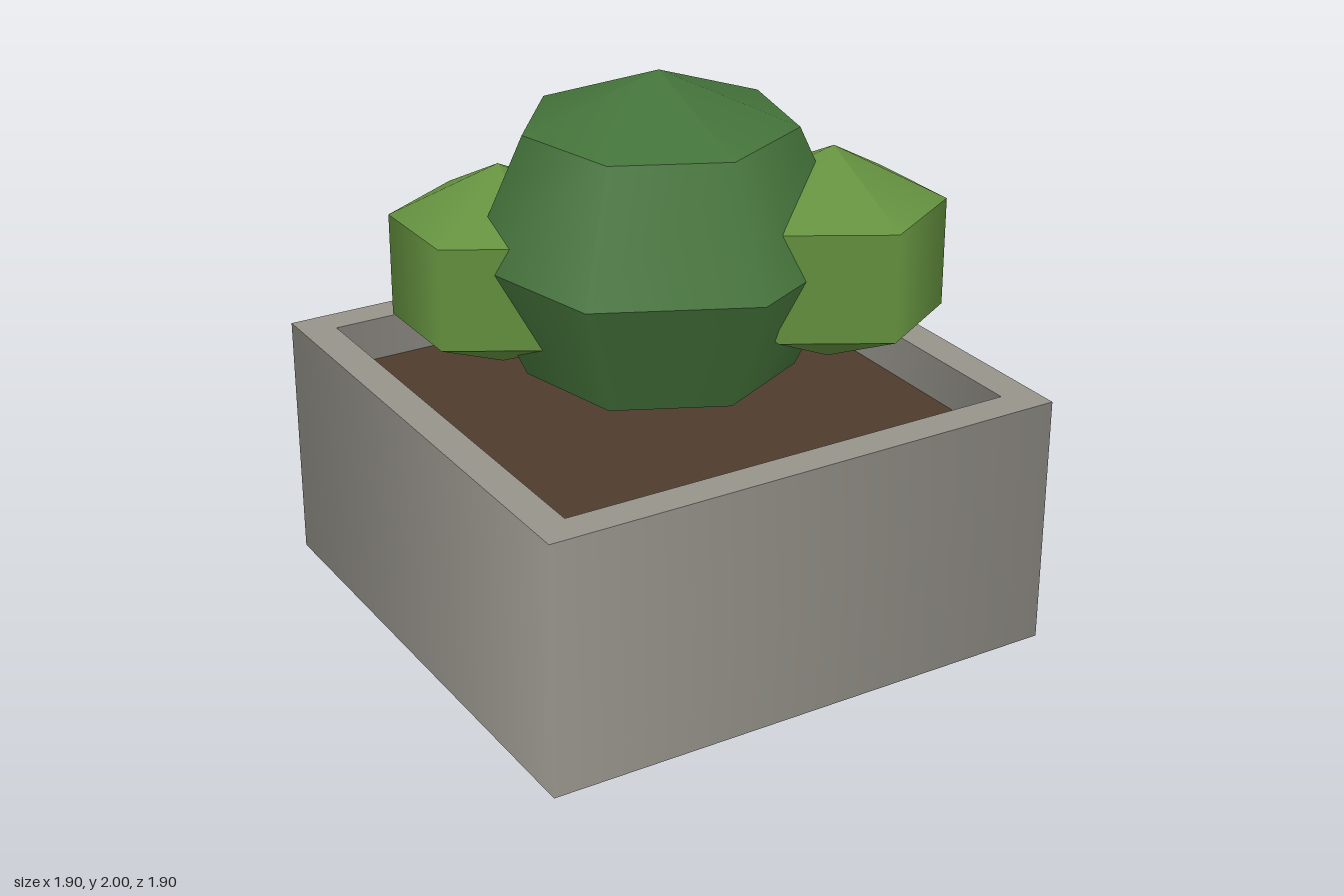
import * as THREE from 'three';
import { mergeGeometries } from 'three/addons/utils/BufferGeometryUtils.js';

const mat = (name, color, side = THREE.FrontSide) => {
  const m = new THREE.MeshStandardMaterial({ color, side });
  m.name = name;
  return m;
};

// One open band of a many-sided solid: smooth around, creased above and below
function band(rTop, rBottom, yTop, yBottom, sides) {
  const g = new THREE.CylinderGeometry(rTop, rBottom, yTop - yBottom, sides, 1, true);
  return g.translate(0, (yTop + yBottom) / 2, 0);
}

// Square band, sized by half width
function squareBand(halfTop, halfBottom, yTop, yBottom) {
  const k = Math.SQRT2;
  return band(halfTop * k, halfBottom * k, yTop, yBottom, 4).rotateY(Math.PI / 4);
}

// Flat square frame facing up or down
function squareFrame(inner, outer, y, up) {
  const k = Math.SQRT2;
  const g = new THREE.RingGeometry(inner * k, outer * k, 4, 1, Math.PI / 4);
  return g.rotateX(up ? -Math.PI / 2 : Math.PI / 2).translate(0, y, 0);
}

// Faceted ball made of stacked bands
function bushGeometry(radius, height, sides, rows) {
  const parts = [];
  for (let i = 0; i < rows; i++) {
    const a = (i / rows) * Math.PI;
    const b = ((i + 1) / rows) * Math.PI;
    const rTop = i === 0 ? 0 : radius * Math.sin(a);
    const rBottom = i === rows - 1 ? 0 : radius * Math.sin(b);
    parts.push(band(rTop, rBottom, height * Math.cos(a), height * Math.cos(b), sides));
  }
  return mergeGeometries(parts);
}

export function createModel() {
  const model = new THREE.Group();
  model.name = 'planter';

  const concrete = mat('concrete', 0x96938b, THREE.DoubleSide);
  const earth = mat('earth', 0x4e3b2d, THREE.DoubleSide);
  const darkLeaf = mat('dark leaf', 0x44733a);
  const deepLeaf = mat('deep leaf', 0x3f6e3c);
  const lightLeaf = mat('light leaf', 0x64913f);

  const add = (name, geometry, material) => {
    const mesh = new THREE.Mesh(geometry, material);
    mesh.name = name;
    model.add(mesh);
    return mesh;
  };

  // Square tub, open underneath
  const half = 0.95, inner = 0.83, top = 0.955, soilY = 0.8;
  add('tubWall', squareBand(half, half, top, 0.06), concrete);
  add('tubFoot', squareBand(half, 0.87, 0.06, 0), concrete);
  add('tubRim', squareFrame(inner, half, top, true), concrete);
  add('tubInnerWall', squareBand(inner, inner, top, soilY), concrete);
  add('tubUnderside', squareFrame(inner, 0.87, 0, false), concrete);

  // Hollow block of soil
  const soilTop = new THREE.PlaneGeometry(inner * 2, inner * 2).rotateX(-Math.PI / 2);
  add('soilTop', soilTop.translate(0, soilY, 0), earth);
  add('soilSides', squareBand(inner, inner, soilY, 0), earth);

  // Bushes: name, position, radius, half height, sides, rows, colour
  const bushes = [
    ['mainBush', [0, 1.4, 0], 0.66, 0.6, 7, 4, darkLeaf],
    ['frontLeftBush', [0.48, 1.37, 0.32], 0.44, 0.38, 6, 3, lightLeaf],
    ['backRightBush', [-0.45, 1.31, -0.29], 0.427, 0.36, 6, 3, lightLeaf],
    ['backLeftBush', [0.35, 1.275, -0.48], 0.393, 0.34, 6, 3, deepLeaf],
  ];
  for (const [name, position, radius, height, sides, rows, material] of bushes) {
    add(name, bushGeometry(radius, height, sides, rows), material).position.set(...position);
  }

  return model;
}
